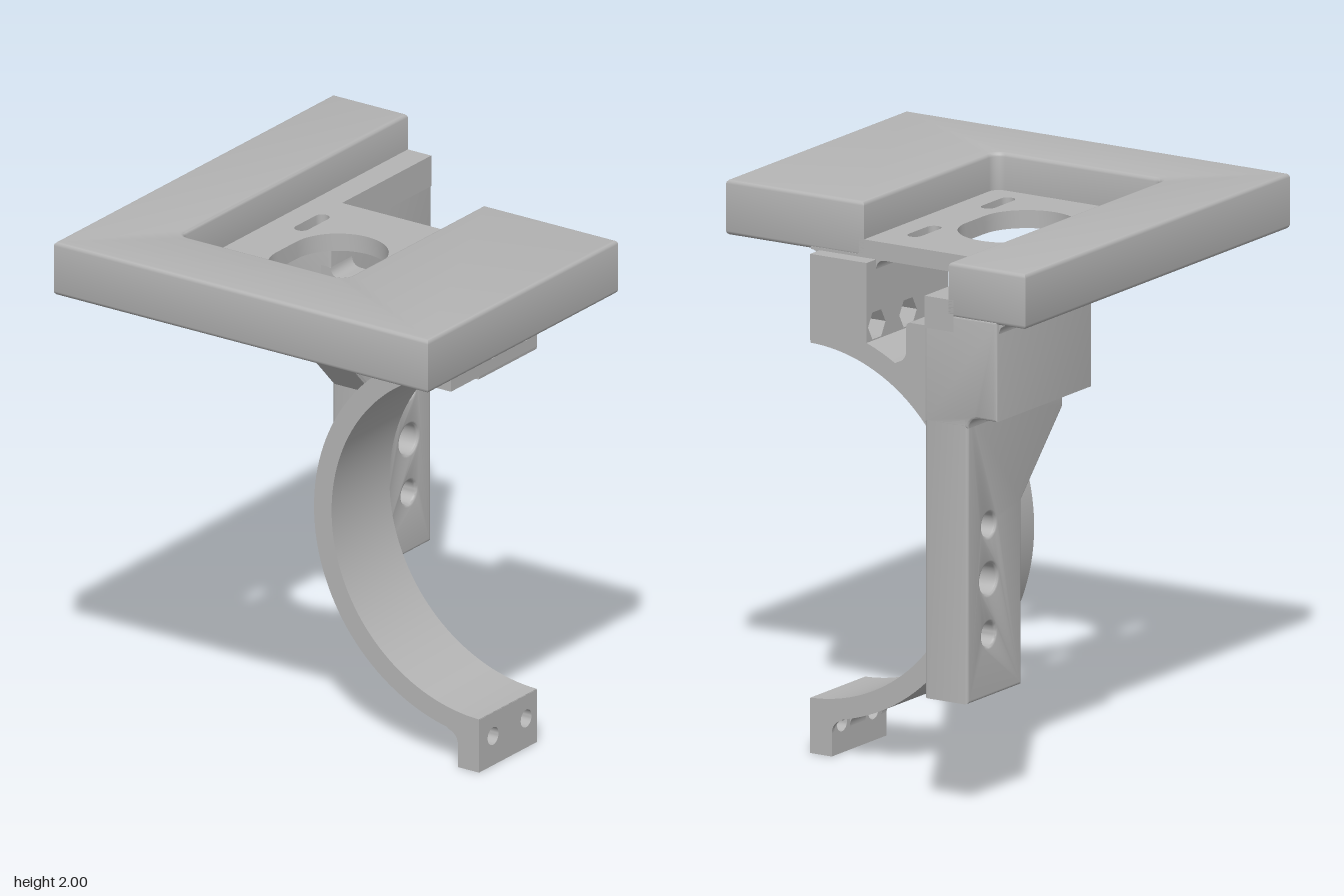
import * as THREE from 'three';
import { toCreasedNormals } from 'three/addons/utils/BufferGeometryUtils.js';

const V = (p) => new THREE.Vector2(p[0], p[1]);

// Closed outline with optional holes, all given as [u, v] points
function outline(points, holes = []) {
  const s = new THREE.Shape(points.map(V));
  for (const h of holes) s.holes.push(new THREE.Path(h.map(V)));
  return s;
}

// Points on an arc; angles in degrees
function arc(cx, cy, r, a0, a1, n) {
  return Array.from({ length: n + 1 }, (_, i) => {
    const a = THREE.MathUtils.degToRad(a0 + ((a1 - a0) * i) / n);
    return [cx + r * Math.cos(a), cy + r * Math.sin(a)];
  });
}

const circle = (u, v, r, n = 28) => arc(u, v, r, 0, 360, n).slice(0, n);

// Slot standing along v, with rounded ends
const slot = (u, v, r, half, n = 14) => [
  ...arc(u, v + half - r, r, 0, 180, n),
  ...arc(u, v - half + r, r, 180, 360, n),
];

export function createModel() {
  const group = new THREE.Group();
  const grey = new THREE.MeshStandardMaterial({ color: 0xb4b4b4 });
  grey.name = 'grey plastic';

  // Extrude from a to b along an axis.
  // Outline axes: z -> (x, y), x -> (-z, y), y -> (x, -z)
  function part(name, shape, axis, a, b, bevel = 0) {
    let g = new THREE.ExtrudeGeometry(shape, {
      depth: b - a - 2 * bevel,
      bevelEnabled: bevel > 0,
      bevelThickness: bevel,
      bevelSize: bevel,
      bevelOffset: -bevel,
      bevelSegments: 3,
    });
    g.translate(0, 0, a + bevel);
    if (axis === 'x') g.rotateY(Math.PI / 2);
    if (axis === 'y') g.rotateX(-Math.PI / 2);
    g = toCreasedNormals(g, 0.6);
    const m = new THREE.Mesh(g, grey);
    m.name = name;
    group.add(m);
  }

  // Concave fillet below the plate beside a wall at x, running along z
  function fillet(name, x, dir, z0, z1) {
    const r = 0.035;
    const curve = arc(r, 1.8 - r, r, 90, 180, 6).map(([u, v]) => [x + dir * u, v]);
    part(name, outline([...curve, [x - dir * 0.01, 1.8 - r], [x - dir * 0.01, 1.81], [x + dir * r, 1.81]]), 'z', z0, z1);
  }

  // Plate frame, open at the back with one long arm
  part('plateFrame', outline([
    [-0.8, -0.845], [0.8, -0.845], [0.8, 0.305], [0.225, 0.305],
    ...arc(0.185, -0.495, 0.04, 0, -90, 6),
    ...arc(-0.44, -0.495, 0.04, -90, -180, 6),
    [-0.48, 0.845], [-0.8, 0.845],
  ]), 'y', 1.8, 2, 0.015);

  // Thin pocket floor with motor opening and four slots
  const slots = [];
  for (const x of [-0.36, 0.11]) for (const z of [-0.095, 0.375]) slots.push(slot(x, -z, 0.027, 0.088, 8));
  part('pocketFloor', outline(
    [[-0.5, -0.555], [0.245, -0.555], [0.245, 0.305], [-0.5, 0.305]],
    [slot(-0.125, -0.14, 0.177, 0.237, 24), ...slots],
  ), 'y', 1.8, 1.865);
  part('armLedge', outline([[-0.5, 0.235], [-0.38, 0.235], [-0.38, 0.845], [-0.5, 0.845]]), 'y', 1.75, 1.865);

  // Thick block below the arm, with a fillet into the leg
  part('armBlock', outline([
    [-0.68, 1.81], [-0.68, 1.45], [-0.6, 1.45],
    ...arc(-0.6, 1.41, 0.04, 90, 0, 5), [-0.38, 1.41], [-0.38, 1.81],
  ]), 'z', -0.845, -0.235, 0.008);
  fillet('blockFilletOuter', -0.68, -1, -0.83, -0.235);
  fillet('blockFilletInner', -0.38, 1, -0.305, -0.235);

  // Drilled leg with sloped shoulder
  part('leg', outline(
    [[0.845, 0.415], [0.845, 1.5], [0.235, 1.5], [0.235, 1.36], [0.5, 1.08], [0.5, 0.415]],
    [circle(0.71, 1.035, 0.043), circle(0.71, 0.84, 0.055), circle(0.71, 0.64, 0.043)],
  ), 'x', -0.56, -0.38, 0.012);

  // Web joining the leg and the clamp ring
  part('web', outline([
    [-0.42, 1.295], [-0.22, 1.295], ...arc(-0.22, 1.245, 0.05, 80, 10, 5),
    ...arc(0.42, 0.84, 0.68, 145, 120, 6),
    [0.06, 1.453], ...arc(0.055, 1.505, 0.045, 260, 180, 5),
    ...arc(-0.005, 1.595, 0.015, 0, 90, 3),
    ...arc(-0.345, 1.645, 0.035, 270, 180, 5), [-0.42, 1.645],
  ]), 'z', -0.365, -0.235);

  // Half clamp ring
  part('clampRing', outline([
    ...arc(0.42, 0.84, 0.64, 91, 269, 72),
    [0.41, 0.19], [0.32, 0.19],
    ...arc(0.42, 0.84, 0.715, 262, 110, 60),
    [0.175, 1.49], [0.41, 1.49],
  ]), 'z', -0.365, -0.015);

  // Upper clamp pad: bolt holes outside, hexagonal nut pockets inside
  const boltZ = [-0.1, -0.3];
  const padEdge = [
    ...arc(-0.19, 1.765, 0.035, 90, 0, 6), [-0.155, 1.49],
    [0.365, 1.49], [0.365, 1.8], [0.305, 1.8], [0.305, 1.81], [-0.19, 1.81],
  ];
  part('clampPadOuter', outline(padEdge, boltZ.map((z) => circle(-z, 1.565, 0.033))), 'x', 0.3, 0.41);
  part('clampPadInner', outline(padEdge, boltZ.map((z) => circle(-z, 1.565, 0.056, 6))), 'x', 0.175, 0.3);
  fillet('padFilletInner', 0.175, -1, -0.305, 0.155);
  fillet('padFilletOuter', 0.41, 1, -0.305, 0.155);

  // Lower clamp tab
  part('clampTab', outline(
    [[0.015, 0], [0.365, 0], [0.365, 0.198], [0.015, 0.198]],
    boltZ.map((z) => circle(-z, 0.11, 0.033)),
  ), 'x', 0.32, 0.41);

  // Fillet behind the tab, interrupted by the nut pockets
  for (const [z0, z1] of [[-0.365, -0.35], [-0.25, -0.15], [-0.05, -0.015]]) {
    part('tabFillet', outline([
      [0.33, 0.06], [0.32, 0.06], ...arc(0.27, 0.085, 0.05, 0, 80, 6), [0.26, 0.16], [0.33, 0.16],
    ]), 'z', z0, z1);
  }

  return group;
}
